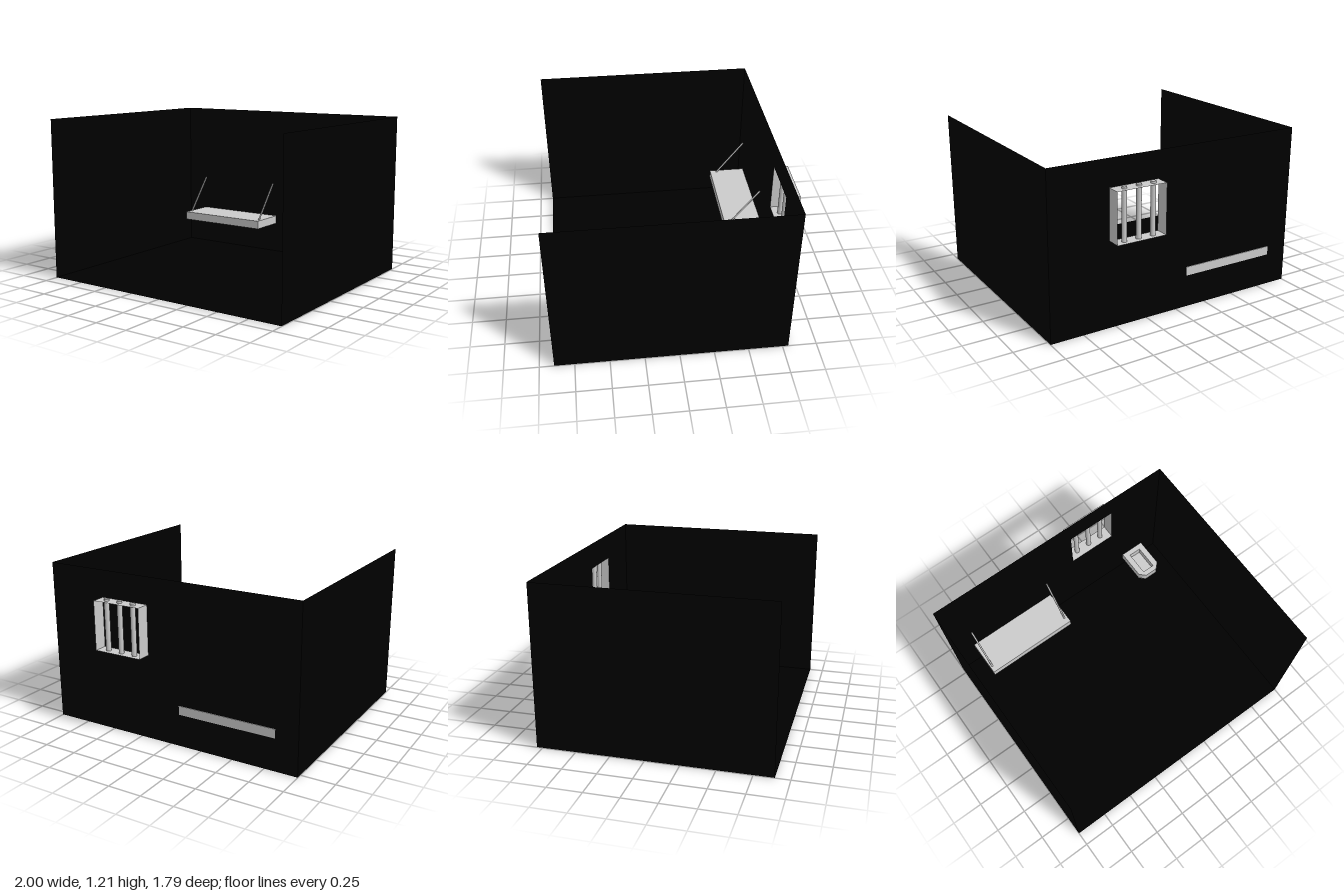
import * as THREE from 'three';
import { toCreasedNormals } from 'three/addons/utils/BufferGeometryUtils.js';

const grey = new THREE.MeshStandardMaterial({ color: 0xcccccc });
const greyThin = new THREE.MeshStandardMaterial({ color: 0xcccccc, side: THREE.DoubleSide });
const black = new THREE.MeshStandardMaterial({ color: 0x000000, side: THREE.DoubleSide });

// Room and window limits
const FLOOR = 0.002, TOP = 1.205, BACK = -0.792, FRONT = 0.895;
const WIN = { x0: 0.17, x1: 0.55, y0: 0.638, y1: 1.005, z: -0.895 };

function add(parent, name, geometry, material, x = 0, y = 0, z = 0) {
  const mesh = new THREE.Mesh(geometry, material);
  mesh.name = name;
  mesh.position.set(x, y, z);
  parent.add(mesh);
  return mesh;
}

function group(parent, name) {
  const g = new THREE.Group();
  g.name = name;
  parent.add(g);
  return g;
}

// Round rod between two points
function rod(parent, name, a, b, radius) {
  const dir = b.clone().sub(a);
  const mesh = add(parent, name, new THREE.CylinderGeometry(radius, radius, dir.length(), 16), grey);
  mesh.position.copy(a).add(b).multiplyScalar(0.5);
  mesh.quaternion.setFromUnitVectors(new THREE.Vector3(0, 1, 0), dir.normalize());
}

// Six-cornered outline with its two front corners cut off
function outline({ y, w, z0, z1, cut }) {
  return [[-w, z0], [-w, z1 - cut], [cut - w, z1], [w - cut, z1], [w, z1 - cut], [w, z0]]
    .map(([x, z]) => [x, y, z]);
}

// Skin over a stack of outlines, closed at both ends
function loft(sections) {
  const rings = sections.map(outline), n = 6, index = [];
  for (let r = 0; r < rings.length - 1; r++) {
    for (let i = 0; i < n; i++) {
      const j = (i + 1) % n, a = r * n + i, b = r * n + j;
      index.push(a, b, b + n, a, b + n, a + n);
    }
  }
  const last = (rings.length - 1) * n;
  for (let i = 1; i < n - 1; i++) {
    index.push(0, i + 1, i, last, last + i, last + i + 1);
  }
  const geo = new THREE.BufferGeometry();
  geo.setAttribute('position', new THREE.Float32BufferAttribute(rings.flat(2), 3));
  geo.setIndex(index);
  return toCreasedNormals(geo, 0.9);
}

function buildRoom(parent) {
  const room = group(parent, 'room');
  const depth = FRONT - BACK, midZ = (FRONT + BACK) / 2, h = TOP - FLOOR;
  add(room, 'floor', new THREE.PlaneGeometry(2, depth).rotateX(-Math.PI / 2), black, 0, FLOOR, midZ);
  for (const [name, s] of [['leftWall', 1], ['rightWall', -1]]) {
    add(room, name, new THREE.PlaneGeometry(depth, h).rotateY(-s * Math.PI / 2), black, s, FLOOR + h / 2, midZ);
  }
  // Back wall with the window opening
  const shape = new THREE.Shape([[-1, FLOOR], [1, FLOOR], [1, TOP], [-1, TOP]].map(p => new THREE.Vector2(...p)));
  shape.holes.push(new THREE.Path([[WIN.x0, WIN.y0], [WIN.x0, WIN.y1], [WIN.x1, WIN.y1], [WIN.x1, WIN.y0]]
    .map(p => new THREE.Vector2(...p))));
  add(room, 'backWall', new THREE.ShapeGeometry(shape), black, 0, 0, BACK);
}

function buildWindow(parent) {
  const win = group(parent, 'window');
  const w = WIN.x1 - WIN.x0, h = WIN.y1 - WIN.y0, d = BACK - WIN.z;
  const cx = (WIN.x0 + WIN.x1) / 2, cy = (WIN.y0 + WIN.y1) / 2, cz = (BACK + WIN.z) / 2;
  // Thin reveal standing out behind the wall
  for (const s of [-1, 1]) {
    add(win, 'windowSide', new THREE.PlaneGeometry(d, h).rotateY(s * Math.PI / 2), greyThin, cx + s * w / 2, cy, cz);
    add(win, s > 0 ? 'windowHead' : 'windowSill', new THREE.PlaneGeometry(w, d).rotateX(-s * Math.PI / 2),
      greyThin, cx, cy + s * h / 2, cz);
  }
  for (const x of [0.248, 0.36, 0.472]) {
    rod(win, 'windowBar', new THREE.Vector3(x, 0.629, -0.848), new THREE.Vector3(x, 1.02, -0.848), 0.019);
  }
}

function buildBunk(parent) {
  const bunk = group(parent, 'bunk');
  add(bunk, 'bunkBoard', new THREE.BoxGeometry(0.75, 0.066, 0.295), grey, -0.455, 0.277, -0.6495);
  for (const x of [-0.81, -0.105]) {
    rod(bunk, 'bunkStay', new THREE.Vector3(x, 0.588, -0.774), new THREE.Vector3(x, 0.3, -0.55), 0.007);
  }
}

function buildToilet(parent) {
  // Foot, neck, flared bowl, rim, then down into the basin
  const geo = loft([
    { y: 0, w: 0.05, z0: -0.745, z1: -0.55, cut: 0.028 },
    { y: 0.082, w: 0.05, z0: -0.745, z1: -0.55, cut: 0.028 },
    { y: 0.115, w: 0.098, z0: -0.787, z1: -0.51, cut: 0.045 },
    { y: 0.184, w: 0.098, z0: -0.787, z1: -0.51, cut: 0.045 },
    { y: 0.184, w: 0.05, z0: -0.745, z1: -0.55, cut: 0.002 },
    { y: 0.125, w: 0.05, z0: -0.745, z1: -0.55, cut: 0.002 },
  ]);
  add(parent, 'toilet', geo, grey, 0.76, 0, 0);
}

export function createModel() {
  const model = new THREE.Group();
  model.name = 'cell';
  buildRoom(model);
  buildWindow(model);
  buildBunk(model);
  buildToilet(model);
  return model;
}
